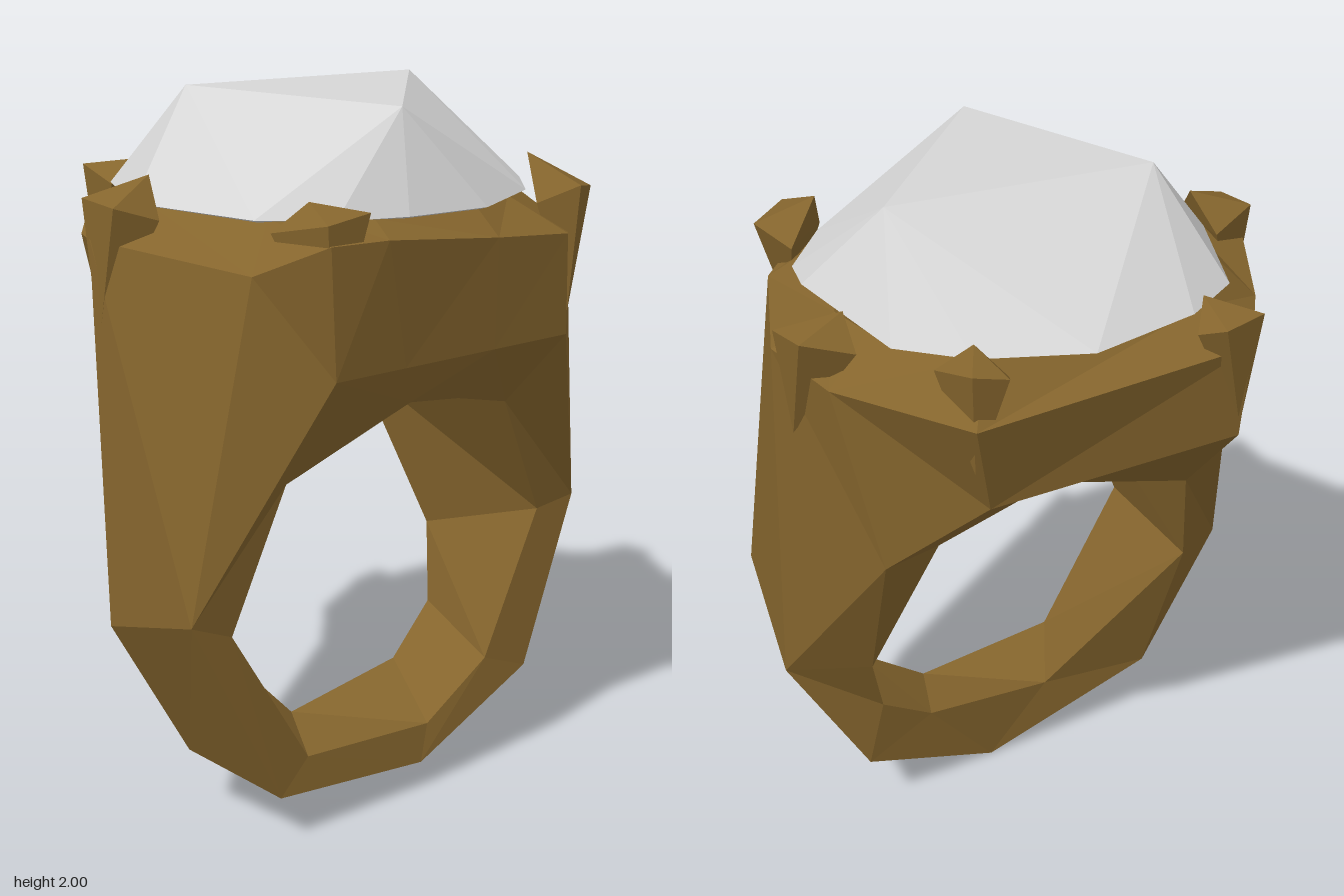
import * as THREE from 'three';
import { ConvexGeometry } from 'three/addons/geometries/ConvexGeometry.js';

const gold = new THREE.MeshStandardMaterial({ color: 0x85652d, flatShading: true, side: THREE.DoubleSide });
gold.name = 'dark gold';
const crystal = new THREE.MeshStandardMaterial({ color: 0xd6d6d6, flatShading: true });
crystal.name = 'pale crystal';

const dist = (a, b) => Math.hypot(a[0] - b[0], a[1] - b[1], a[2] - b[2]);

// Joins two rows of points with quads, folded along the shorter diagonal
function strip(out, u, v, closed) {
  const n = u.length;
  for (let i = 0; i < (closed ? n : n - 1); i++) {
    const j = (i + 1) % n;
    if (dist(u[i], v[j]) < dist(v[i], u[j])) out.push(u[i], v[i], v[j], u[i], v[j], u[j]);
    else out.push(u[i], v[i], u[j], v[i], v[j], u[j]);
  }
}

function facetMesh(name, corners) {
  const g = new THREE.BufferGeometry();
  g.setAttribute('position', new THREE.Float32BufferAttribute(corners.flat(), 3));
  g.computeVertexNormals();
  const m = new THREE.Mesh(g, gold);
  m.name = name;
  return m;
}

function hullMesh(name, points, material) {
  const m = new THREE.Mesh(new ConvexGeometry(points.map(p => new THREE.Vector3(...p))), material);
  m.name = name;
  return m;
}

// Cross-sections around the finger: front edge, inner front, inner back, back edge
const shank = [
  [[0.67, 0.80, 0.35], [0.54, 0.78, 0.34], [0.49, 0.63, -0.08], [0.705, 0.62, 0.03]],
  [[0.52, 0.29, 0.33], [0.37, 0.35, 0.32], [0.43, 0.41, 0.00], [0.48, 0.21, 0.00]],
  [[0.13, 0.09, 0.32], [0.16, 0.20, 0.31], [0.26, 0.28, 0.04], [0.04, 0.00, 0.08]],
  [[-0.38, 0.15, 0.33], [-0.28, 0.24, 0.32], [-0.14, 0.23, 0.06], [-0.48, 0.21, 0.04]],
  [[-0.67, 0.73, 0.35], [-0.54, 0.67, 0.34], [-0.53, 0.68, -0.08], [-0.71, 0.64, 0.03]],
];
const bridge = [
  [[-0.37, 1.36, 0.55], [-0.41, 1.07, 0.40], [-0.40, 1.08, -0.26], [-0.46, 1.28, -0.34]],
  [[-0.15, 1.36, 0.55], [-0.09, 1.25, 0.50], [0.04, 1.23, -0.30], [-0.36, 1.39, -0.54]],
  [[0.15, 1.36, 0.55], [0.10, 1.22, 0.47], [0.06, 1.23, -0.30], [0.30, 1.31, -0.44]],
  [[0.41, 1.36, 0.55], [0.32, 1.16, 0.42], [0.36, 1.11, -0.26], [0.52, 1.10, -0.28]],
];

// Upper outline of the head, from the right shoulder along the front and round the back
const rim = [
  [-0.53, 1.62, 0.43], [-0.41, 1.70, 0.58], [-0.25, 1.70, 0.60], [0.12, 1.66, 0.585],
  [0.37, 1.64, 0.58], [0.52, 1.62, 0.43], [0.70, 1.68, -0.06], [0.62, 1.62, -0.22],
  [0.38, 1.60, -0.53], [-0.36, 1.66, -0.57], [-0.57, 1.62, -0.28], [-0.70, 1.66, -0.02],
];

// Stone girdle outline as x, z
const girdle = [
  [-0.25, -0.47], [0.06, -0.53], [0.33, -0.42], [0.48, -0.28], [0.52, 0.24], [0.38, 0.41],
  [0.12, 0.54], [-0.12, 0.52], [-0.30, 0.46], [-0.45, 0.33], [-0.55, -0.05], [-0.42, -0.37],
];

// Claws: two outer corners, the tip over the stone and a foot on the wall
const claws = {
  frontLeftClaw: [[0.52, 1.74, 0.51], [0.41, 1.76, 0.58], [0.38, 1.83, 0.41], [0.42, 1.42, 0.54]],
  frontRightClaw: [[-0.42, 1.75, 0.58], [-0.30, 1.77, 0.59], [-0.36, 1.78, 0.43], [-0.38, 1.42, 0.55]],
  backLeftClaw: [[0.39, 1.75, -0.53], [0.30, 1.73, -0.545], [0.33, 1.77, -0.42], [0.36, 1.45, -0.48]],
  backRightClaw: [[-0.38, 1.75, -0.58], [-0.26, 1.74, -0.60], [-0.28, 1.77, -0.46], [-0.36, 1.42, -0.54]],
  sideLeftClaw: [[0.68, 1.75, -0.20], [0.70, 1.74, -0.08], [0.54, 1.78, -0.14], [0.67, 1.45, -0.09]],
  sideRightClaw: [[-0.70, 1.76, -0.05], [-0.69, 1.75, 0.08], [-0.54, 1.81, 0.01], [-0.70, 1.40, 0.01]],
};

export function createModel() {
  const group = new THREE.Group();
  group.name = 'ring';
  const column = (rows, k) => rows.map(r => r[k]);

  // Shank: closed four-sided band below the shoulders
  const band = [];
  for (let k = 0; k < 4; k++) strip(band, column(shank, k), column(shank, (k + 1) % 4), false);
  group.add(facetMesh('shank', band));

  // Underside of the head, arching over the finger hole
  const arch = [shank[4], ...bridge, shank[0]];
  const under = [];
  for (let k = 0; k < 3; k++) strip(under, column(arch, k), column(arch, k + 1), false);
  group.add(facetMesh('headUnderside', under));

  // Head wall and shoulders, rising from the arch edges to the rim
  const lip = [...column(arch, 0), ...column(arch, 3).reverse()];
  const wall = [];
  strip(wall, rim, lip, true);
  group.add(facetMesh('headWall', wall));

  // Sloping seat around and below the stone
  const seat = rim.map(([x, , z]) => {
    const s = 0.525 / Math.hypot(x, z);
    return [x * s, 1.73, z * s];
  });
  const bezel = [];
  strip(bezel, seat, rim, true);
  strip(bezel, seat.map(() => [0, 1.5, 0]), seat, true);
  group.add(facetMesh('stoneSeat', bezel));

  // Claws, each spreading sideways into the seat
  for (const [name, [a, b, tip, foot]] of Object.entries(claws)) {
    const s = 0.09 / Math.hypot(tip[0], tip[2]);
    const roots = [-s, s].map(t => [tip[0] * 1.06 - tip[2] * t, 1.71, tip[2] * 1.06 + tip[0] * t]);
    group.add(hullMesh(name, [a, b, tip, foot, ...roots], gold));
  }

  // Faceted stone with a triangular table
  const table = [[-0.31, 2.0, -0.16], [0.40, 2.0, -0.09], [-0.08, 1.985, 0.44]];
  const stone = [...table, ...girdle.map(([x, z]) => [x, 1.73, z]), [0.58, 1.79, 0.02], [0, 1.55, 0]];
  group.add(hullMesh('stone', stone, crystal));

  return group;
}
